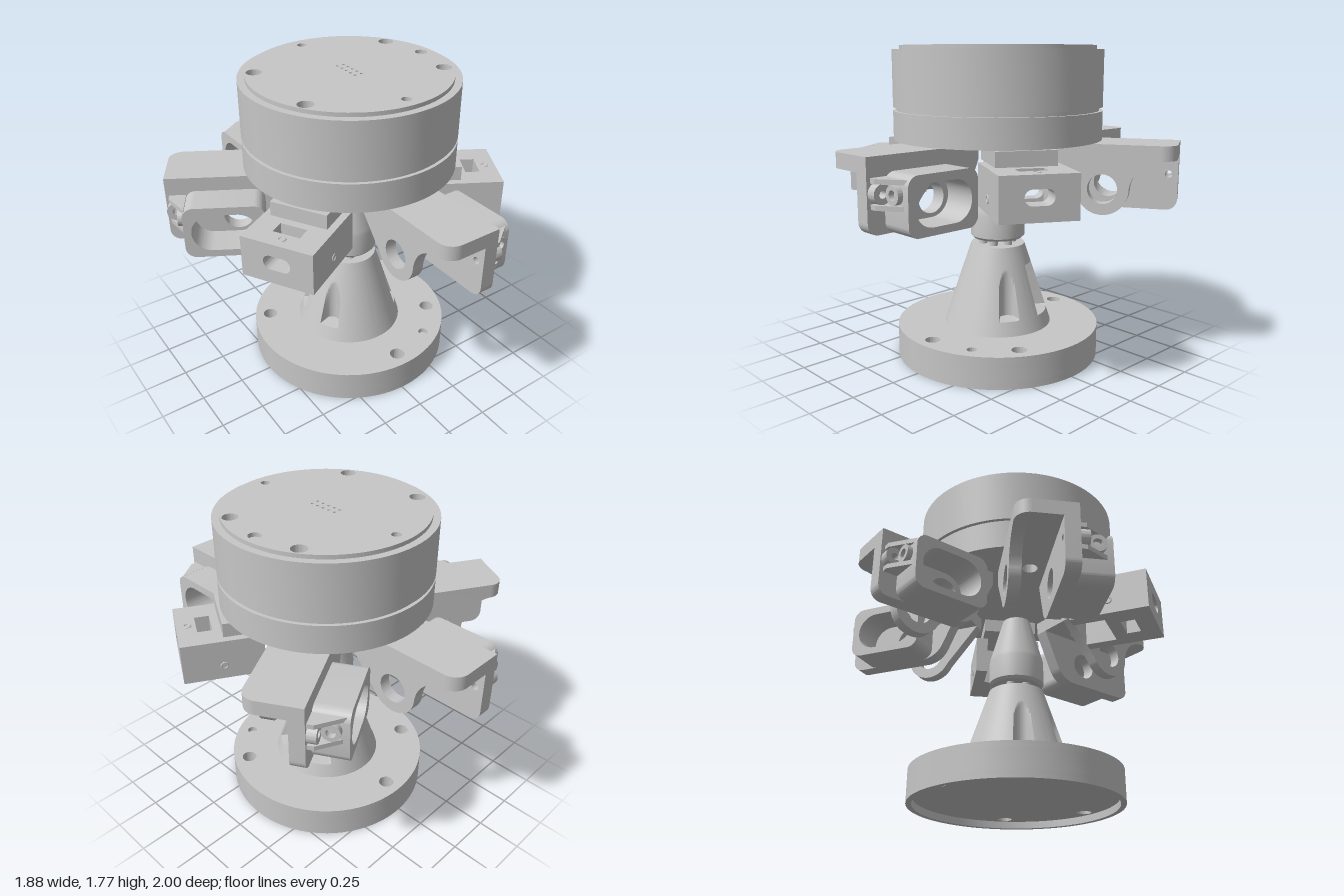
import * as THREE from 'three';
import { toCreasedNormals } from 'three/addons/utils/BufferGeometryUtils.js';

const grey = new THREE.MeshStandardMaterial({ color: 0xc6c6c6 });
grey.name = 'grey metal';

function add(parent, name, geometry, x = 0, y = 0, z = 0) {
  const mesh = new THREE.Mesh(geometry, grey);
  mesh.name = name;
  mesh.position.set(x, y, z);
  parent.add(mesh);
  return mesh;
}

function box(parent, name, x0, x1, y0, y1, z0, z1) {
  return add(parent, name, new THREE.BoxGeometry(x1 - x0, y1 - y0, z1 - z0),
    (x0 + x1) / 2, (y0 + y1) / 2, (z0 + z1) / 2);
}

function circle(x, y, r, Type = THREE.Path) {
  return new Type().absarc(x, y, r, 0, Math.PI * 2, false);
}

function roundRect(x0, x1, y0, y1, r, Type = THREE.Shape) {
  const s = new Type();
  s.absarc(x1 - r, y0 + r, r, -Math.PI / 2, 0, false);
  s.absarc(x1 - r, y1 - r, r, 0, Math.PI / 2, false);
  s.absarc(x0 + r, y1 - r, r, Math.PI / 2, Math.PI, false);
  s.absarc(x0 + r, y0 + r, r, Math.PI, Math.PI * 1.5, false);
  s.closePath();
  return s;
}

function polygon(...points) {
  return new THREE.Shape(points.map(p => new THREE.Vector2(...p)));
}

function extrude(shape, depth, curveSegments = 24) {
  return toCreasedNormals(new THREE.ExtrudeGeometry(shape, { depth, curveSegments, bevelEnabled: false }), 0.5);
}

// Round plate lying flat, pierced by holes
function disc(parent, name, r, y0, y1, holes) {
  const s = circle(0, 0, r, THREE.Shape);
  s.holes = holes.map(([x, y, hr]) => circle(x, y, hr));
  return add(parent, name, extrude(s, y1 - y0, 40).rotateX(-Math.PI / 2), 0, y0, 0);
}

// Bolt patterns, with y pointing to the back
const bolt = 0.042;
const drumHoles = [];
for (const sx of [-1, 1]) for (const sy of [-1, 1]) drumHoles.push([sx * 0.427, sy * 0.25, bolt]);
const capHoles = [...drumHoles, [0, 0.47, 0.026], [0, -0.47, 0.026], [0.48, 0, 0.034]];
for (let i = -2; i <= 2; i++) for (const x of [-0.02, 0.02]) capHoles.push([x, i * 0.04, 0.009]);
const baseHoles = [[0.427, -0.25, bolt], [-0.427, 0.25, bolt], [0, 0.495, bolt], [0, -0.495, bolt]];

// Tapered pedestal, its radius cut back by bolt pockets and one flat window
function pedestalGeometry() {
  const y0 = 0.18, y1 = 0.65, n = 180, rows = 60, pos = [], index = [];
  const pockets = [30, 150, 210].map(d => d * Math.PI / 180);
  const radius = (t, y) => {
    let r = 0.31 - 0.155 * (y - y0) / (y1 - y0);
    if (y < 0.265) return r;
    for (const a of pockets) {
      const d = t - a, q = 0.05 ** 2 - (0.245 * Math.sin(d)) ** 2;
      if (Math.cos(d) > 0 && q > 0) r = Math.min(r, 0.245 * Math.cos(d) - Math.sqrt(q));
    }
    const c = Math.cos(t + Math.PI / 6);
    if (y < 0.54 && c > Math.cos(0.34)) r = Math.min(r, 0.14 / c);
    return r;
  };
  for (let j = 0; j <= rows; j++) for (let i = 0; i <= n; i++) {
    const t = (i % n) / n * Math.PI * 2, y = y0 + (y1 - y0) * j / rows, r = radius(t, y);
    pos.push(r * Math.cos(t), y, r * Math.sin(t));
    if (j < rows && i < n) {
      const a = j * (n + 1) + i, b = a + n + 1;
      index.push(a, b, a + 1, b, b + 1, a + 1);
    }
  }
  const g = new THREE.BufferGeometry();
  g.setAttribute('position', new THREE.Float32BufferAttribute(pos, 3));
  g.setIndex(index);
  return toCreasedNormals(g, 0.6);
}

// Plate standing along z, from x1 - t to x1
const upright = (shape, x1, t) => extrude(shape, t).rotateY(-Math.PI / 2).translate(x1, 0, 0);

function clampBracket() {
  const g = new THREE.Group();
  g.name = 'clampBracket';

  // Top flange with one rounded outer corner
  const f = new THREE.Shape();
  f.moveTo(-0.15, -0.3);
  f.lineTo(-0.15, -0.92);
  f.absarc(-0.07, -0.92, 0.08, Math.PI, Math.PI * 1.5, false);
  f.lineTo(0.165, -1);
  f.lineTo(0.165, -0.3);
  f.holes.push(circle(0, -0.495, bolt));
  add(g, 'flange', extrude(f, 0.08).rotateX(-Math.PI / 2), 0, 1.18, 0);

  // Lobed cheek
  const lobe = new THREE.Shape();
  lobe.moveTo(0.3, 1.18);
  lobe.lineTo(0.494, 0.958);
  lobe.absarc(0.62, 1.02, 0.14, 3.6, 6.3, false);
  lobe.quadraticCurveTo(0.78, 1.16, 0.92, 1.18);
  lobe.holes.push(circle(0.62, 1.02, 0.08));
  add(g, 'lobedCheek', upright(lobe, -0.085, 0.065));

  // Full cheek carrying the clamp
  const cheek = new THREE.Shape();
  cheek.moveTo(0.3, 1.18);
  cheek.lineTo(0.404, 0.958);
  cheek.absarc(0.53, 1.02, 0.14, 3.6, Math.PI * 1.5, false);
  cheek.absarc(0.94, 0.94, 0.06, -Math.PI / 2, 0, false);
  cheek.lineTo(1, 1.18);
  cheek.holes.push(circle(0.62, 1.02, 0.08), circle(0.95, 1.08, 0.02));
  add(g, 'clampCheek', upright(cheek, 0.165, 0.08));

  // Clamp body with an oblong bore
  const clamp = roundRect(0.47, 0.9, 0.88, 1.18, 0.06);
  clamp.holes.push(roundRect(0.51, 0.86, 0.92, 1.135, 0.107, THREE.Path));
  add(g, 'clamp', upright(clamp, 0.35, 0.185));

  // Screw ear on the outer end
  const ear = polygon([0.165, -0.89], [0.165, -0.98], [0.2, -0.98], [0.33, -0.89]);
  add(g, 'clampEar', extrude(ear, 0.025).rotateX(-Math.PI / 2), 0, 1.01, 0);
  add(g, 'clampEar', extrude(ear, 0.025).rotateX(-Math.PI / 2), 0, 1.135, 0);
  const boss = circle(0.945, 1.085, 0.05, THREE.Shape);
  boss.holes.push(circle(0.945, 1.085, 0.02));
  add(g, 'screwBoss', upright(boss, 0.215, 0.05));
  const socket = circle(0.265, 1.085, 0.048, THREE.Shape);
  socket.holes.push(circle(0.265, 1.085, 0.025));
  add(g, 'screwSocket', extrude(socket, 0.035), 0, 0, 0.895);
  return g;
}

function boxBracket() {
  const g = new THREE.Group();
  g.name = 'boxBracket';

  // Mounting plate under the drum
  const mount = polygon([-0.16, -0.28], [-0.16, -0.6], [0.16, -0.6], [0.16, -0.28]);
  mount.holes.push(circle(0, -0.495, bolt));
  add(g, 'mountPlate', extrude(mount, 0.08).rotateX(-Math.PI / 2), 0, 1.18, 0);

  // Side walls, thicker beside the slot
  for (const s of [-1, 1]) {
    box(g, 'sideArm', s * 0.165 - 0.035, s * 0.165 + 0.035, 0.95, 1.18, 0.39, 0.645);
    box(g, 'sideWall', s * 0.1375 - 0.0625, s * 0.1375 + 0.0625, 0.95, 1.18, 0.645, 0.725);
  }

  // Cross walls with an oblong opening
  const wall = polygon([-0.2, 0.95], [0.2, 0.95], [0.2, 1.18], [-0.2, 1.18]);
  wall.holes.push(roundRect(-0.075, 0.075, 1.03, 1.11, 0.039, THREE.Path));
  add(g, 'endWall', extrude(wall, 0.105), 0, 0, 0.725);
  add(g, 'innerWall', extrude(wall, 0.075), 0, 0, 0.57);

  // Screw collars on the sides and top
  const collar = () => new THREE.TorusGeometry(0.018, 0.005, 8, 20);
  for (const s of [-1, 1]) add(g, 'sideScrew', collar(), s * 0.2, 1.03, 0.61).rotation.y = Math.PI / 2;
  add(g, 'topScrew', collar(), 0, 1.18, 0.77).rotation.x = Math.PI / 2;
  return g;
}

export function createModel() {
  const model = new THREE.Group();
  model.name = 'mountingStand';
  const m = new THREE.Group();
  m.name = 'stand';
  m.position.x = 0.025;
  model.add(m);

  // Base: rim around a recessed underside
  disc(m, 'baseRim', 0.585, 0, 0.04, [[0, 0, 0.555]]);
  disc(m, 'basePlate', 0.585, 0.04, 0.15, baseHoles);
  disc(m, 'baseTop', 0.585, 0.15, 0.18, [...baseHoles, [0.25, -0.43, 0.028]]);

  // Pedestal and centre post
  add(m, 'pedestal', pedestalGeometry());
  add(m, 'pedestalTop', new THREE.CircleGeometry(0.155, 64).rotateX(-Math.PI / 2), 0, 0.65, 0);
  for (let i = 0; i < 6; i++) {
    const a = i * Math.PI / 3;
    add(m, 'pin', new THREE.CylinderGeometry(0.024, 0.024, 0.06, 16), 0.085 * Math.cos(a), 0.67, 0.085 * Math.sin(a));
  }
  const post = [[0, 0.685], [0.14, 0.685], [0.155, 0.7], [0.155, 0.83], [0.15, 0.855], [0.08, 1.1], [0, 1.1]];
  add(m, 'post', toCreasedNormals(
    new THREE.LatheGeometry(post.map(p => new THREE.Vector2(...p)), 64), 0.5));

  // Upper drum with a groove and a raised cap
  disc(m, 'drumLower', 0.585, 1.26, 1.42, drumHoles);
  disc(m, 'drumGroove', 0.565, 1.42, 1.44, drumHoles);
  disc(m, 'drumUpper', 0.585, 1.44, 1.75, drumHoles);
  disc(m, 'drumCap', 0.545, 1.75, 1.772, capHoles);

  // Brackets around the drum
  for (const [make, angles] of [[clampBracket, [0, 120, 180, 240]], [boxBracket, [60, -60]]]) {
    for (const deg of angles) {
      const b = make();
      b.rotation.y = deg * Math.PI / 180;
      m.add(b);
    }
  }
  return model;
}
